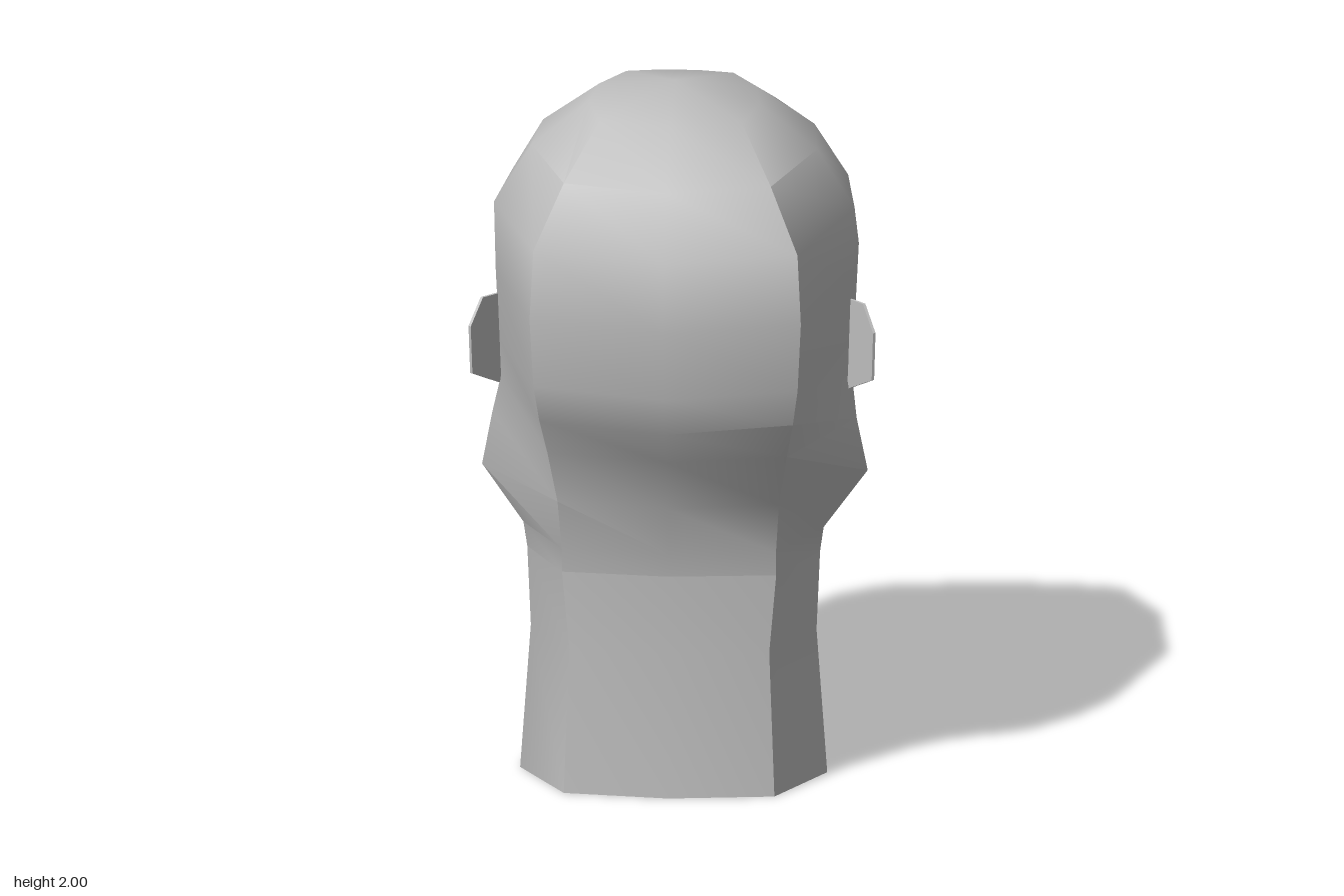
import * as THREE from 'three';
import { toCreasedNormals } from 'three/addons/utils/BufferGeometryUtils.js';

// Each section: y, front z, then x,z of face corner, temple, ear line, back corner, then back z
const craniumRows = [
  [2.00, 0.05, 0, 0.05, 0, 0.05, 0, 0.05, 0, 0.05, 0.05],
  [1.95, -0.20, 0.15, -0.18, 0.22, -0.06, 0.24, 0.10, 0.20, 0.28, 0.33],
  [1.82, -0.39, 0.26, -0.36, 0.38, -0.13, 0.40, 0.10, 0.29, 0.45, 0.53],
  [1.65, -0.50, 0.33, -0.46, 0.47, -0.20, 0.505, 0.10, 0.37, 0.545, 0.65],
  [1.45, -0.54, 0.35, -0.51, 0.50, -0.20, 0.50, 0.10, 0.38, 0.555, 0.665],
  [1.25, -0.525, 0.35, -0.50, 0.49, -0.20, 0.49, 0.10, 0.37, 0.54, 0.645],
];
const jawRows = [
  [1.14, -0.53, 0.35, -0.505, 0.48, -0.20, 0.485, 0.10, 0.355, 0.51, 0.62],
  [1.03, -0.54, 0.35, -0.51, 0.485, -0.19, 0.51, 0.09, 0.335, 0.46, 0.53],
  [0.87, -0.535, 0.34, -0.50, 0.485, -0.17, 0.54, 0.07, 0.31, 0.405, 0.455],
  [0.72, -0.50, 0.30, -0.45, 0.45, -0.15, 0.42, 0.13, 0.30, 0.37, 0.405],
];
const neckRows = [
  [0.65, -0.36, 0.29, -0.27, 0.39, -0.03, 0.41, 0.13, 0.30, 0.36, 0.39],
  [0.42, -0.30, 0.27, -0.21, 0.385, 0.00, 0.40, 0.13, 0.28, 0.35, 0.385],
  [0.00, -0.30, 0.28, -0.21, 0.41, 0.00, 0.43, 0.13, 0.295, 0.36, 0.395],
];

// Mirrors one section into a closed ring, front -> left -> back -> right
function ring([y, fz, bx, bz, cx, cz, dx, dz, ex, ez, backZ]) {
  const half = [[bx * 0.4, fz + (bz - fz) * 0.12], [bx, bz], [cx, cz], [dx, dz], [ex, ez]];
  const other = half.map(([x, z]) => [-x, z]).reverse();
  return [[0, fz], ...half, [0, backZ], ...other].map(([x, z]) => [x, y, z]);
}

function creased(triangles, degrees) {
  const g = new THREE.BufferGeometry();
  g.setAttribute('position', new THREE.Float32BufferAttribute(triangles.flat(), 3));
  return toCreasedNormals(g, THREE.MathUtils.degToRad(degrees));
}

// Skin between sections listed from top to bottom
function loft(rows, closedTop) {
  const rings = rows.map(ring), tris = [];
  for (let i = 0; i < rings.length - 1; i++) {
    const up = rings[i], low = rings[i + 1], n = up.length;
    for (let j = 0; j < n; j++) {
      const k = (j + 1) % n;
      if (i > 0 || !closedTop) tris.push(up[j], up[k], low[j]);
      tris.push(up[k], low[k], low[j]);
    }
  }
  return creased(tris, 46);
}

export function createModel() {
  const model = new THREE.Group();
  const grey = new THREE.MeshStandardMaterial({ color: 0xc0c0c0, side: THREE.DoubleSide });
  grey.name = 'plain grey';
  const add = (name, geometry) => {
    const mesh = new THREE.Mesh(geometry, grey);
    mesh.name = name;
    model.add(mesh);
    return mesh;
  };

  // Skull with jaw, and the open-ended neck
  add('head', loft([...craniumRows, ...jawRows, neckRows[0]], true));
  add('neck', loft(neckRows, false));

  // Wedge nose: narrow bridge, blunt tip, wide base
  const [tl, tr] = [1, -1].map(s => [0.03 * s, 1.39, -0.53]);
  const [pl, pr] = [1, -1].map(s => [0.042 * s, 1.12, -0.665]);
  const [bl, br] = [1, -1].map(s => [0.115 * s, 1.07, -0.53]);
  add('nose', creased([
    tl, pl, tr, tr, pl, pr,
    tl, bl, pl, tr, pr, br,
    pl, bl, pr, pr, bl, br,
  ], 10));

  // Thin ears flaring backward
  const outline = [[-0.02, 1.38], [0.09, 1.39], [0.148, 1.32], [0.14, 1.18], [0.01, 1.12], [-0.02, 1.13]];
  const earShape = new THREE.Shape(outline.map(([u, y]) => new THREE.Vector2(u, y)));
  const earGeometry = new THREE.ExtrudeGeometry(earShape, { depth: 0.008, bevelEnabled: false });
  for (const side of [1, -1]) {
    const ear = add(side > 0 ? 'leftEar' : 'rightEar', earGeometry);
    ear.position.set(0.49 * side, 0, 0.09);
    ear.rotation.y = -1.0 * side;
    ear.scale.x = side;
  }
  return model;
}
